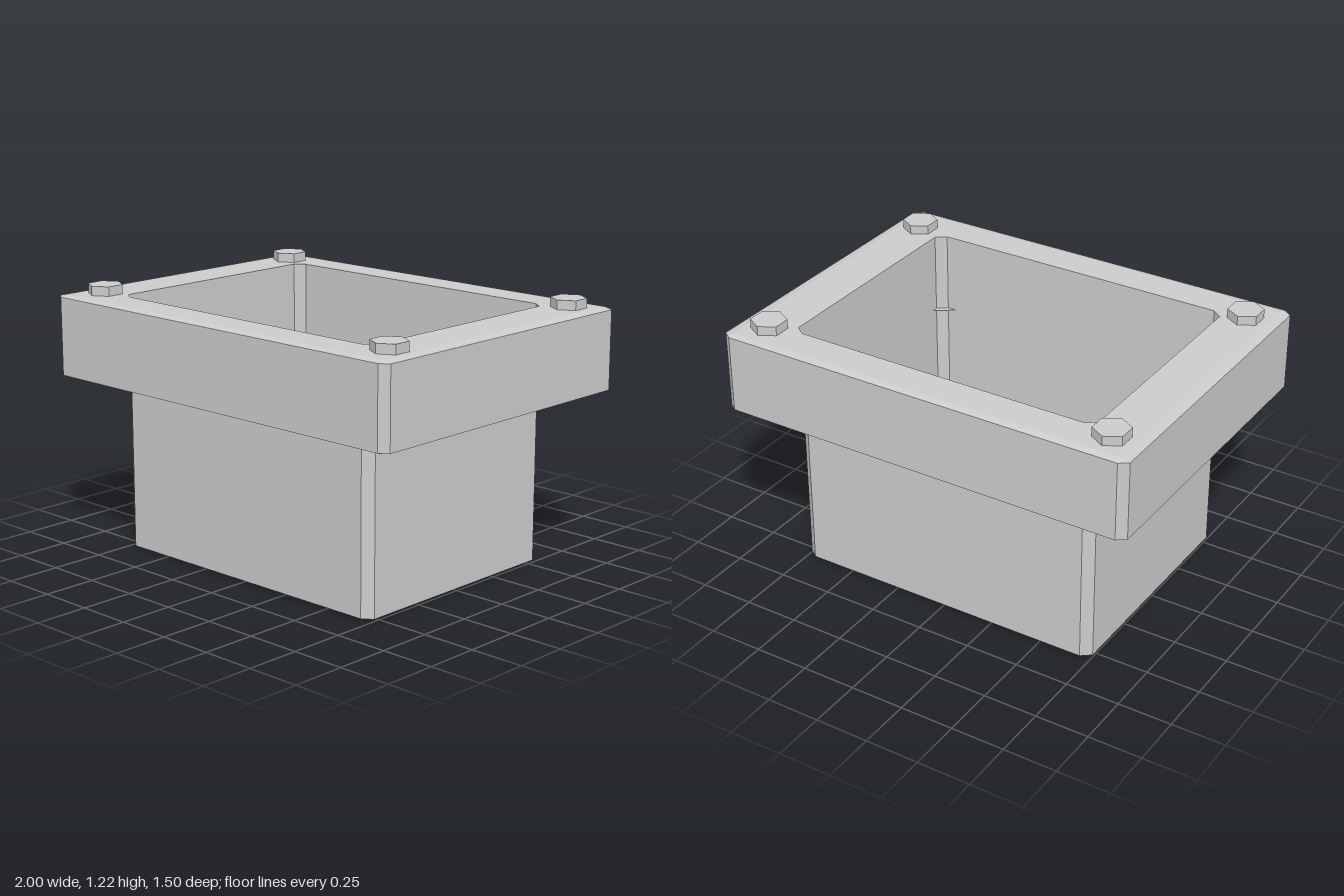
import * as THREE from 'three';

const material = new THREE.MeshStandardMaterial({ color: 0xcccccc, flatShading: true, side: THREE.DoubleSide });

// Rectangle with cut corners, counter-clockwise seen from above
function loop(x, z, cx, cz, y) {
  return [
    [x, -z + cz], [x - cx, -z], [-x + cx, -z], [-x, -z + cz],
    [-x, z - cz], [-x + cx, z], [x - cx, z], [x, z - cz],
  ].map(([px, pz]) => [px, y, pz]);
}

// Flat-sided skin through loops; outward when the loops run upward
function loft(loops) {
  const pos = [];
  for (let i = 0; i < loops.length - 1; i++) {
    const a = loops[i], b = loops[i + 1];
    for (let j = 0; j < 8; j++) {
      const k = (j + 1) % 8;
      pos.push(...a[j], ...a[k], ...b[k], ...a[j], ...b[k], ...b[j]);
    }
  }
  const g = new THREE.BufferGeometry();
  g.setAttribute('position', new THREE.Float32BufferAttribute(pos, 3));
  g.computeVertexNormals();
  return g;
}

export function createModel() {
  const group = new THREE.Group();
  const add = (name, geometry) => {
    const mesh = new THREE.Mesh(geometry, material);
    mesh.name = name;
    group.add(mesh);
    return mesh;
  };

  // Thin-walled bin, open at the top, with a bevelled floor edge
  add('body', loft([
    loop(0, 0, 0, 0, 0),
    loop(0.71, 0.535, 0, 0, 0),
    loop(0.75, 0.565, 0.045, 0.035, 0.01),
    loop(0.75, 0.565, 0.045, 0.035, 0.805),
  ]));

  // Small corner ledges inside the mouth of the bin
  add('cornerLedges', loft([
    loop(0.75, 0.565, 0.045, 0.035, 0.8),
    loop(0.75, 0.565, 0.09, 0.065, 0.8),
  ]));

  // Collar: bevelled outside, straight opening through the middle
  add('collar', loft([
    loop(0.75, 0.565, 0.045, 0.035, 0.8),
    loop(0.96, 0.72, 0, 0, 0.8),
    loop(1, 0.75, 0.04, 0.03, 0.808),
    loop(1, 0.75, 0.04, 0.03, 1.168),
    loop(0.96, 0.72, 0, 0, 1.177),
    loop(0.75, 0.565, 0.045, 0.035, 1.177),
    loop(0.75, 0.565, 0.045, 0.035, 0.8),
  ]));

  // Hexagonal bolt heads, one near each corner
  const bolts = [[-0.85, -0.6], [0.855, -0.6], [-0.85, 0.58], [0.867, 0.58]];
  for (const [x, z] of bolts) {
    add('bolt', new THREE.CylinderGeometry(0.081, 0.081, 0.06, 6)).position.set(x, 1.19, z);
  }
  return group;
}
